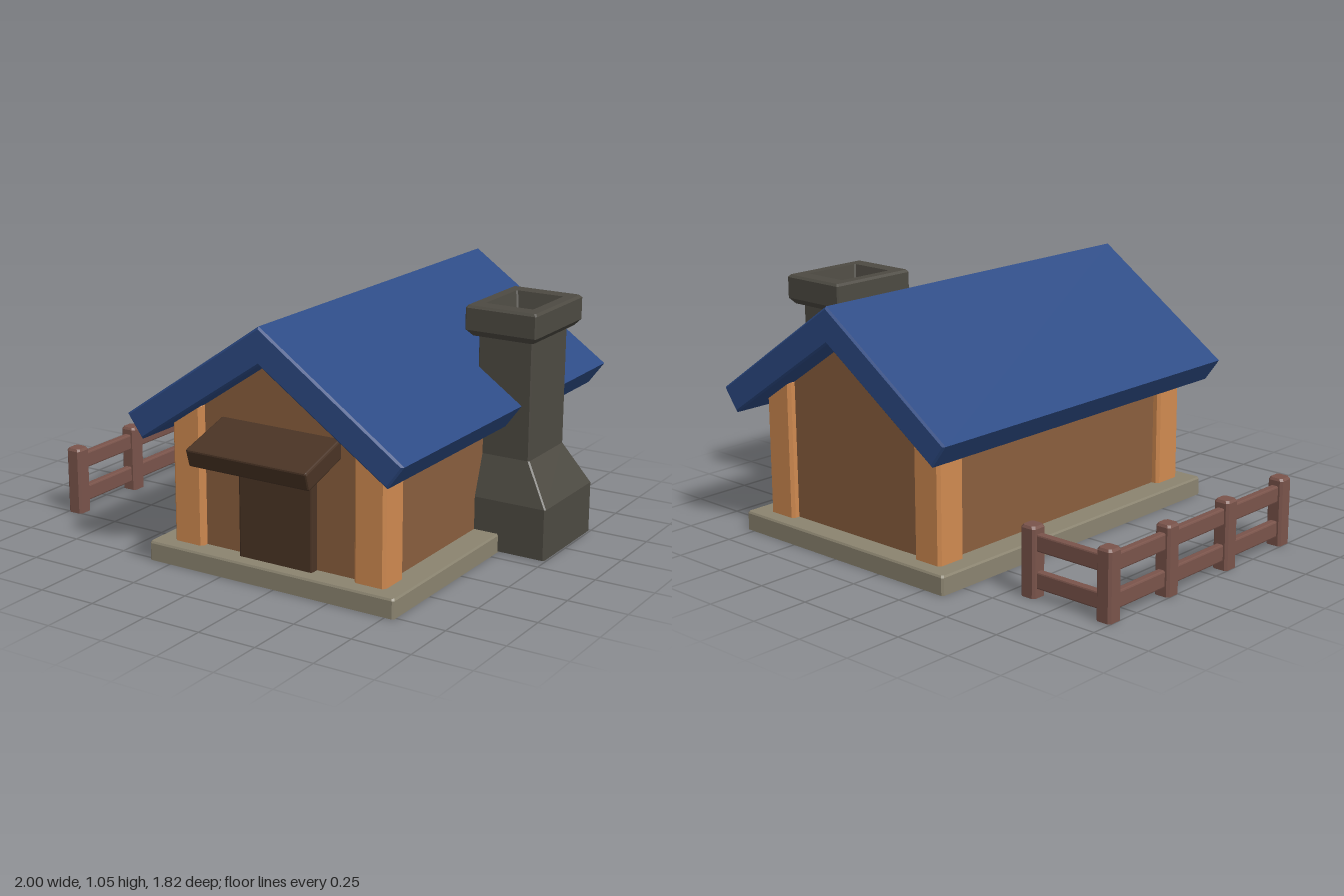
import * as THREE from 'three';
import { RoundedBoxGeometry } from 'three/addons/geometries/RoundedBoxGeometry.js';

const mat = (color) => new THREE.MeshStandardMaterial({ color, flatShading: true, side: THREE.DoubleSide });

// Stacks chamfered rectangles [y, halfX, halfZ]; bottom stays open, top is capped.
function loft(sections, chamfer) {
  const pos = [], index = [];
  for (const [y, w, d] of sections) {
    const a = w - chamfer, b = d - chamfer;
    for (const [x, z] of [[w, -b], [w, b], [a, d], [-a, d], [-w, b], [-w, -b], [-a, -d], [a, -d]]) pos.push(x, y, z);
  }
  for (let s = 0; s < sections.length - 1; s++) {
    for (let i = 0; i < 8; i++) {
      const a = s * 8 + i, b = s * 8 + (i + 1) % 8;
      index.push(a, a + 8, b, b, a + 8, b + 8);
    }
  }
  const top = (sections.length - 1) * 8;
  for (let i = 1; i < 7; i++) index.push(top, top + i + 1, top + i);
  const g = new THREE.BufferGeometry();
  g.setAttribute('position', new THREE.Float32BufferAttribute(pos, 3));
  g.setIndex(index);
  g.computeVertexNormals();
  return g;
}

// Upright post or slab with a softened top edge.
const upright = (w, d, y0, y1, c) =>
  loft([[y0, w, d], [y1 - c, w, d], [y1, w - c * 0.6, d - c * 0.6]], c);

const shapeOf = (pts) => new THREE.Shape(pts.map(([x, y]) => new THREE.Vector2(x, y)));

export function createModel() {
  const root = new THREE.Group();
  const stone = mat(0x8b8470), wood = mat(0xd08a50), plank = mat(0x8a5f3e);
  const dark = mat(0x4a3425), slate = mat(0x4d4a42), blue = mat(0x2d4b85), fenceMat = mat(0x7a544b);

  const add = (parent, name, geometry, material, x = 0, y = 0, z = 0) => {
    const m = new THREE.Mesh(geometry, material);
    m.name = name;
    m.position.set(x, y, z);
    parent.add(m);
    return m;
  };

  // House, centred on its own origin
  const house = new THREE.Group();
  house.name = 'house';
  house.position.set(0.22, 0, -0.048);
  root.add(house);

  add(house, 'foundation', upright(0.57, 0.817, 0, 0.08, 0.008), stone);

  // Walls: two gables and two long sides, open underneath
  const hw = 0.46, hd = 0.72, y0 = 0.03, eave = 0.6;
  const gable = new THREE.ShapeGeometry(shapeOf([[-hw, y0], [hw, y0], [hw, eave], [0, 0.915], [-hw, eave]]));
  add(house, 'frontWall', gable, plank, 0, 0, hd);
  add(house, 'backWall', gable, plank, 0, 0, -hd).rotation.y = Math.PI;
  for (const s of [-1, 1]) {
    const side = add(house, s > 0 ? 'leftWall' : 'rightWall',
      new THREE.PlaneGeometry(hd * 2, eave - y0), plank, s * hw, (eave + y0) / 2, 0);
    side.rotation.y = s * Math.PI / 2;
    for (const t of [-1, 1]) {
      add(house, 'cornerPost', upright(0.07, 0.07, 0.04, 0.67, 0.012), wood, s * 0.422, 0, t * 0.682);
    }
  }

  // Roof: a thick chevron along z
  const roofShape = shapeOf([[0, 0.9], [0.56, 0.52], [0.63, 0.615], [0, 1.05], [-0.63, 0.615], [-0.56, 0.52]]);
  const bevel = 0.008;
  const roof = new THREE.ExtrudeGeometry(roofShape, {
    depth: 1.72 - bevel * 2, bevelThickness: bevel, bevelSize: bevel, bevelOffset: -bevel, bevelSegments: 1,
  });
  add(house, 'roof', roof, blue, 0, 0, -0.86 + bevel);

  // Door and its sloping canopy
  add(root, 'door', new RoundedBoxGeometry(0.34, 0.44, 0.08, 1, 0.008), dark, 0.22, 0.28, 0.67);
  const canopy = add(root, 'doorCanopy', new RoundedBoxGeometry(0.55, 0.078, 0.3, 1, 0.008), dark, 0.222, 0.56, 0.755);
  canopy.rotation.x = 0.29;

  // Chimney with flared foot and hollow cap
  const chimney = new THREE.Group();
  chimney.name = 'chimney';
  chimney.position.set(0.77, 0, -0.27);
  root.add(chimney);
  add(chimney, 'chimneyStack', loft([
    [0.005, 0.228, 0.213], [0.22, 0.228, 0.213], [0.39, 0.12, 0.155], [0.9, 0.12, 0.155],
  ], 0.006), slate);
  add(chimney, 'chimneyCap', loft([
    [0.885, 0.12, 0.155], [0.885, 0.135, 0.19], [0.91, 0.157, 0.21], [1.0, 0.157, 0.21],
    [1.01, 0.148, 0.201], [1.01, 0.105, 0.135], [0.92, 0.09, 0.118],
  ], 0.006), slate, 0.002);

  // Fence: posts joined in order by pairs of rails
  const fence = new THREE.Group();
  fence.name = 'fence';
  root.add(fence);
  const posts = [[-0.595, -0.625], [-0.965, -0.625], [-0.965, -0.275], [-0.965, 0.1], [-0.965, 0.472]];
  posts.forEach(([x, z], i) => {
    add(fence, 'fencePost', upright(0.035, 0.035, 0, 0.288, 0.01), fenceMat, x, 0, z);
    if (i === 0) return;
    const [px, pz] = posts[i - 1];
    const length = Math.hypot(x - px, z - pz);
    for (const y of [0.072, 0.222]) {
      const rail = add(fence, 'fenceRail', new RoundedBoxGeometry(length, 0.07, 0.035, 1, 0.007), fenceMat,
        (x + px) / 2, y, (z + pz) / 2);
      rail.rotation.y = Math.atan2(pz - z, x - px);
    }
  });

  return root;
}
